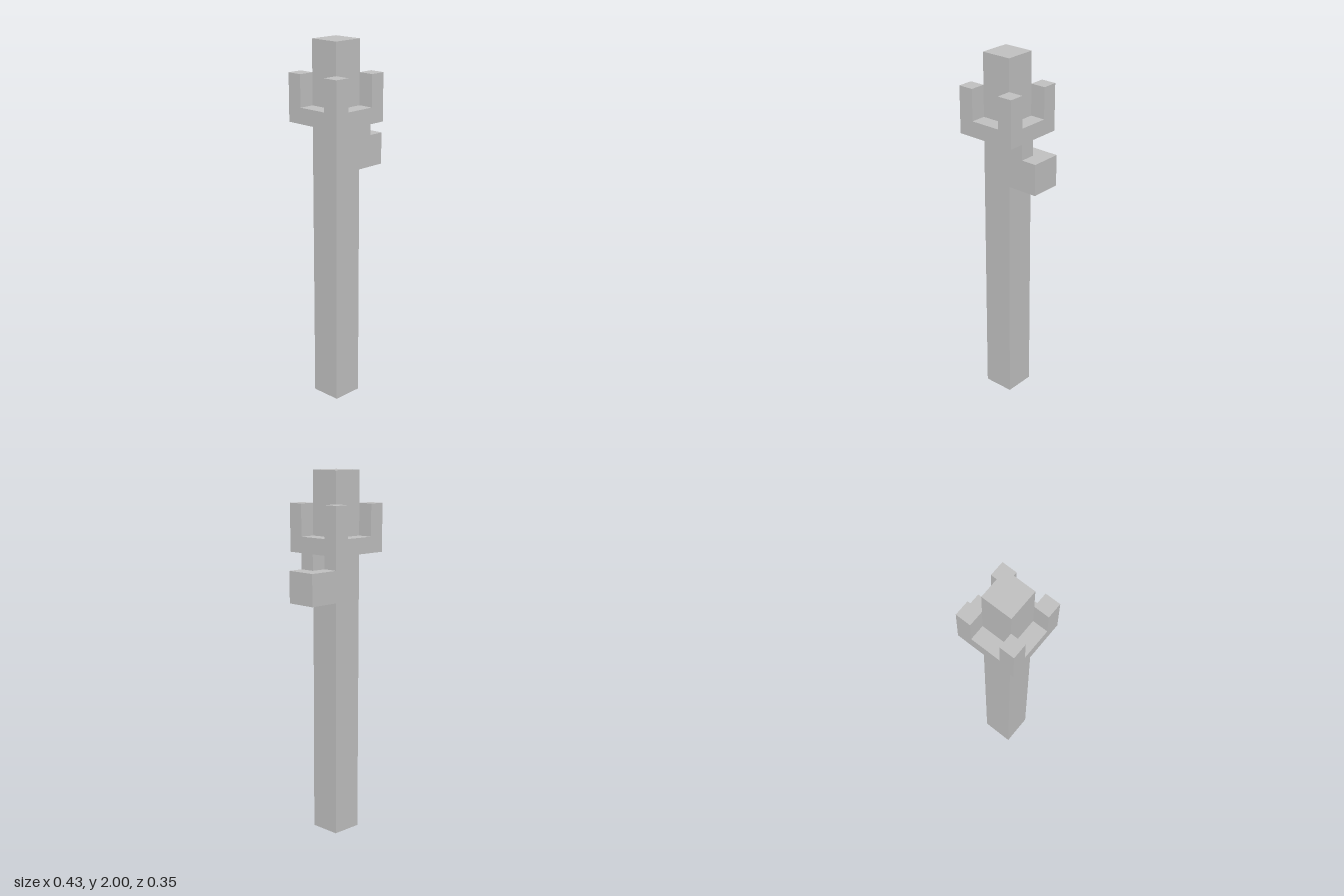
import * as THREE from 'three';

const U = 2 / 23; // one grid unit of the blocky design

export function createModel() {
  const model = new THREE.Group();
  model.name = 'blockKey';
  const grey = new THREE.MeshStandardMaterial({ color: 0xbfbfbf });
  grey.name = 'plain grey';

  // Box spanning two opposite corners, given in grid units
  const block = (name, [x0, y0, z0], [x1, y1, z1]) => {
    const geometry = new THREE.BoxGeometry((x1 - x0) * U, (y1 - y0) * U, (z1 - z0) * U);
    const mesh = new THREE.Mesh(geometry, grey);
    mesh.position.set((x0 + x1) / 2 * U, (y0 + y1) / 2 * U, (z0 + z1) / 2 * U);
    mesh.name = name;
    model.add(mesh);
  };

  // Tall square shaft, running up through the collar
  block('shaft', [-1.5, 0, -1], [0.5, 23, 1]);

  // Square collar with an upright prong on each corner
  block('collar', [-2.5, 18, -2], [1.5, 19, 2]);
  for (const x of [-2.5, 0.5]) {
    for (const z of [-2, 1]) block('prong', [x, 19, z], [x + 1, 21, z + 1]);
  }

  // Side spur, joined to the collar by a small block flush with the front
  block('spur', [0.5, 15, -1], [2.5, 17, 1]);
  block('spurLink', [0.5, 17, 0], [1.5, 18, 1]);

  return model;
}
